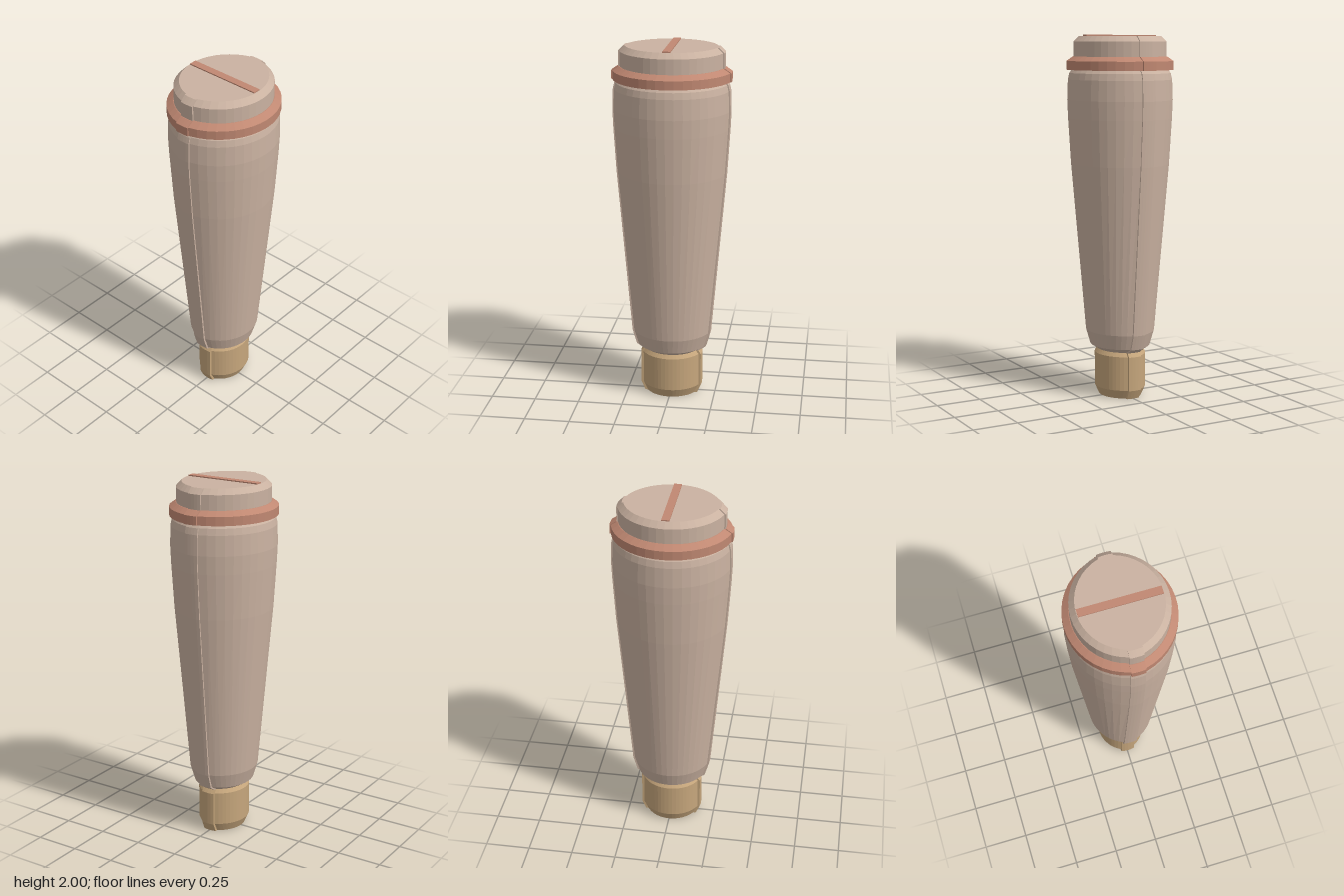
import * as THREE from 'three';

const RIB = 0.038; // half width of the raised seam rib
const ARC = 18, RIB_SEGS = 4;

// Outline: two arcs pushed together by RIB, with a raised rib at front and back
function section(r, y) {
  const side = [], rib = [];
  const a = Math.acos(2 * RIB / r);
  for (let i = 0; i <= ARC; i++) {
    const t = a - 2 * a * i / ARC;
    side.push([r * Math.cos(t) - RIB, r * Math.sin(t)]);
  }
  for (let i = 0; i <= RIB_SEGS; i++) {
    const x = RIB - 2 * RIB * i / RIB_SEGS;
    rib.push([x, -Math.sqrt(r * r - x * x)]);
  }
  // front to back along +x, then the same turned half round
  const half = [...side, ...rib];
  return [...half, ...half.map(([x, z]) => [-x, -z])].map(([x, z]) => [x, y, z]);
}

// Faceted solid through a list of [radius, y], bottom to top, capped at both ends
function loft(profile) {
  const rings = profile.map(([r, y]) => section(r, y));
  const n = rings[0].length, pos = [];
  const tri = (...p) => p.forEach(v => pos.push(...v));
  for (let k = 0; k + 1 < rings.length; k++) {
    const lo = rings[k], hi = rings[k + 1];
    for (let i = 0; i < n; i++) {
      const j = (i + 1) % n;
      tri(lo[i], lo[j], hi[j]);
      tri(lo[i], hi[j], hi[i]);
    }
  }
  const first = rings[0], last = rings[rings.length - 1];
  const c0 = [0, first[0][1], 0], c1 = [0, last[0][1], 0];
  for (let i = 0; i < n; i++) {
    const j = (i + 1) % n;
    tri(c0, first[j], first[i]);
    tri(c1, last[i], last[j]);
  }
  const g = new THREE.BufferGeometry();
  g.setAttribute('position', new THREE.Float32BufferAttribute(pos, 3));
  g.computeVertexNormals();
  return g;
}

function createModel() {
  const group = new THREE.Group();
  const make = (name, color) => {
    const m = new THREE.MeshStandardMaterial({ color });
    m.name = name;
    return m;
  };
  const beige = make('beige', 0xcab2a1);
  const copper = make('copper', 0xc08872);
  const tan = make('tan', 0xc6a67c);
  const add = (name, geometry, material) => {
    const mesh = new THREE.Mesh(geometry, material);
    mesh.name = name;
    group.add(mesh);
    return mesh;
  };

  // Narrow peg at the foot
  add('peg', loft([[0.153, 0], [0.175, 0.05], [0.175, 0.24], [0.16, 0.262]]), tan);

  // Long tapered grip
  add('grip', loft([
    [0.158, 0.26], [0.2, 0.287], [0.224, 0.37], [0.303, 1.3], [0.318, 1.55],
    [0.322, 1.65], [0.318, 1.76], [0.31, 1.795], [0.295, 1.815],
  ]), beige);

  // Collar ring with a bevelled upper edge
  add('collar', loft([[0.325, 1.812], [0.325, 1.86], [0.29, 1.884]]), copper);

  // Bevelled end cap
  add('cap', loft([[0.287, 1.87], [0.287, 1.965], [0.258, 1.994]]), beige);

  // Thin bar across the cap
  add('capBar', new THREE.BoxGeometry(0.432, 0.009, 0.042), copper).position.y = 1.9955;

  return group;
}

export { createModel };
